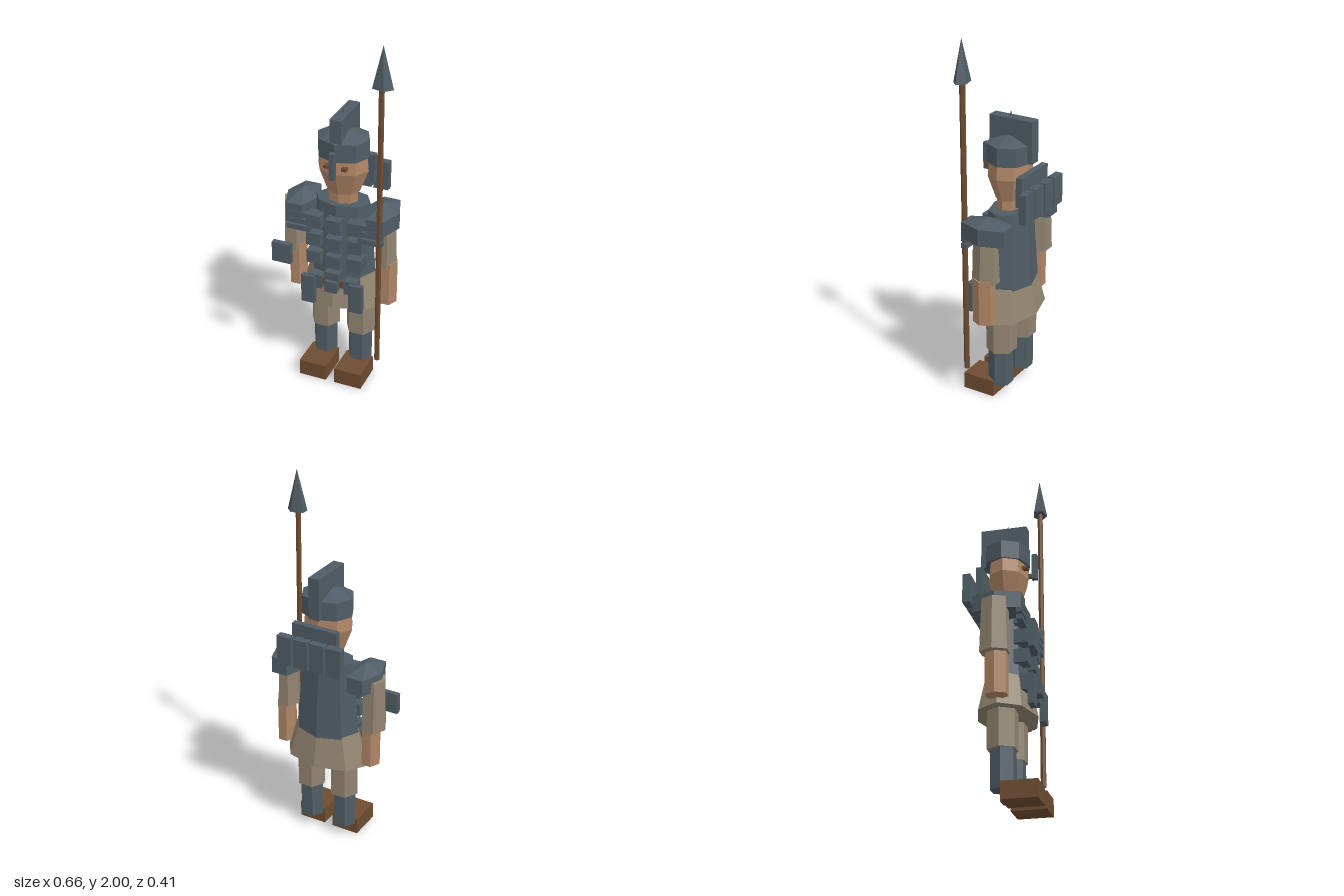
import * as THREE from 'three';

const flat = (name, color) => {
  const m = new THREE.MeshStandardMaterial({ color, flatShading: true });
  m.name = name;
  return m;
};

export function createModel() {
  const steel = flat('steel', 0x4f5c65);
  const brown = flat('brown leather and wood', 0x6e4c30);
  const skin = flat('skin', 0xae8566);
  const cloth = flat('tan cloth', 0x918470);
  const model = new THREE.Group();
  model.name = 'spearman';
  const CX = 0.015; // body axis

  const add = (name, geo, mat, x, y, z) => {
    const mesh = new THREE.Mesh(geo, mat);
    mesh.name = name;
    mesh.position.set(x, y, z);
    model.add(mesh);
    return mesh;
  };
  // box given by its limits on each axis
  const box = (name, mat, [x0, x1], [y0, y1], [z0, z1]) =>
    add(name, new THREE.BoxGeometry(x1 - x0, y1 - y0, z1 - z0), mat,
      (x0 + x1) / 2, (y0 + y1) / 2, (z0 + z1) / 2);
  // upright prism or cone with one corner on +x; depth flattens it along z
  const prism = (name, mat, sides, x, z, [y0, y1], rBottom, rTop, depth = 1) => {
    const geo = new THREE.CylinderGeometry(rTop, rBottom, y1 - y0, sides, 1, false, Math.PI / 2);
    geo.scale(1, 1, depth);
    return add(name, geo, mat, x, (y0 + y1) / 2, z);
  };

  // legs
  for (const s of [-1, 1]) {
    const side = s > 0 ? 'left' : 'right';
    const x = CX + s * 0.103;
    box(side + 'Foot', brown, [x - 0.078, x + 0.078], [0, 0.092], [0, 0.185]);
    prism(side + 'Greave', steel, 6, x, -0.004, [0.065, 0.28], 0.068, 0.068);
    prism(side + 'Trouser', cloth, 6, x, -0.008, [0.27, 0.5], 0.082, 0.082);
  }

  // tunic skirt, cuirass and neck
  prism('skirt', cloth, 8, CX, -0.005, [0.47, 0.66], 0.245, 0.185, 0.64);
  prism('cuirass', steel, 8, CX, -0.005, [0.58, 1.065], 0.192, 0.152, 0.66);
  prism('neck', skin, 8, CX, 0, [1.04, 1.15], 0.083, 0.083, 0.75);

  // chest plates
  for (const y of [0.965, 0.857, 0.748]) {
    for (const i of [-1, 0, 1]) {
      const x = CX + i * 0.115;
      box('chestPlate', steel, [x - 0.04, x + 0.04], [y - 0.037, y + 0.037],
        i ? [0.06, 0.132] : [0.08, 0.145]);
    }
  }

  // belt with hanging plates
  box('belt', brown, [-0.085, 0.115], [0.595, 0.637], [0.08, 0.135]);
  box('upperBuckle', steel, [-0.025, 0.055], [0.63, 0.69], [0.1, 0.155]);
  box('buckle', steel, [-0.02, 0.05], [0.58, 0.645], [0.13, 0.175]);
  for (const s of [-1, 1]) {
    const x = CX + s * 0.135;
    box('tasset', steel, [x - 0.038, x + 0.038], [0.48, 0.645], [0.135, 0.165]);
    const u = CX + s * 0.1;
    box('tassetHanger', steel, [u - 0.036, u + 0.036], [0.57, 0.65], [0.09, 0.145]);
  }

  // arms, pauldrons and shoulder bands
  for (const s of [-1, 1]) {
    const side = s > 0 ? 'left' : 'right';
    const px = CX + s * 0.225;
    prism(side + 'PauldronRim', steel, 6, px, 0, [0.955, 1.045], 0.09, 0.09, 1.64);
    prism(side + 'PauldronCap', steel, 6, px, 0, [1.045, 1.085], 0.09, 0, 1.64);
    for (const y of [0.99, 0.95, 0.91]) {
      const x = CX + s * 0.2;
      box(side + 'ShoulderBand', steel, [x - 0.068, x + 0.068], [y - 0.014, y + 0.014], [0.1, 0.131]);
    }
  }
  prism('rightUpperArm', cloth, 6, -0.262, -0.006, [0.72, 1.01], 0.068, 0.06, 1.2);
  prism('rightForearm', skin, 6, -0.245, 0, [0.5, 0.75], 0.052, 0.052, 1.2);
  prism('leftUpperArm', cloth, 6, 0.258, -0.002, [0.73, 1.01], 0.06, 0.052, 1.27);
  prism('leftForearm', skin, 6, 0.275, 0, [0.5, 0.75], 0.05, 0.05, 1.25);

  // head
  prism('jaw', skin, 8, CX, -0.003, [1.12, 1.25], 0.09, 0.14, 0.78);
  prism('face', skin, 8, CX, -0.003, [1.25, 1.35], 0.14, 0.13, 0.78);
  for (const s of [-1, 1]) {
    const x = CX + s * 0.048;
    box('eye', brown, [x - 0.014, x + 0.014], [1.282, 1.3], [0.07, 0.112]);
  }

  // helmet
  prism('helmetRim', steel, 8, CX, -0.008, [1.325, 1.425], 0.143, 0.143, 0.86);
  prism('helmetDome', steel, 8, CX, -0.008, [1.425, 1.475], 0.143, 0, 0.86);
  box('crest', steel, [-0.016, 0.046], [1.33, 1.555], [-0.147, 0.104]);
  prism('crestSpike', steel, 6, CX, -0.005, [1.55, 1.585], 0.01, 0);
  box('noseGuard', steel, [0.001, 0.029], [1.245, 1.39], [0.125, 0.155]);
  box('neckGuard', steel, [-0.115, 0.145], [1.125, 1.285], [-0.147, -0.112]);

  // plates standing off the back and beside the right arm
  for (let i = 0; i < 4; i++) {
    const x = -0.17 + i * 0.096;
    box('backPlate', steel, [x, x + 0.084], [1.065, 1.225], [-0.205, -0.164]);
  }
  box('armPlate', steel, [-0.307, -0.2], [0.72, 0.835], [0.172, 0.202]);

  // spear
  prism('spearShaft', brown, 6, 0.264, 0.12, [0.18, 1.79], 0.015, 0.015);
  prism('spearHead', steel, 5, 0.268, 0.118, [1.78, 2], 0.057, 0, 0.71);

  return model;
}
